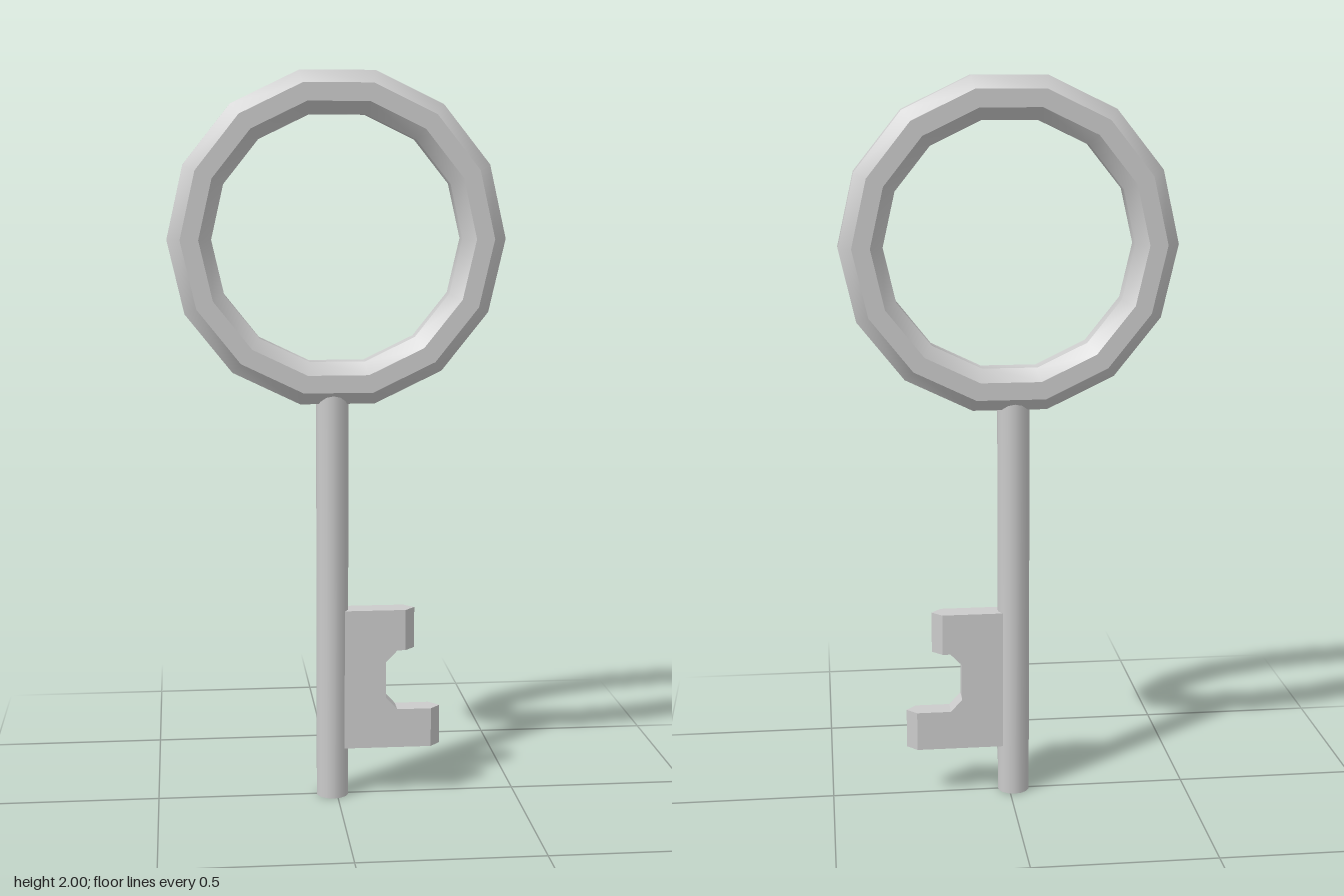
import * as THREE from 'three';
import { toCreasedNormals } from 'three/addons/utils/BufferGeometryUtils.js';

export function createModel() {
  const group = new THREE.Group();
  const material = new THREE.MeshStandardMaterial({ color: 0xcccccc });
  const add = (name, geometry, x, y, z) => {
    const mesh = new THREE.Mesh(geometry, material);
    mesh.name = name;
    mesh.position.set(x, y, z);
    group.add(mesh);
  };

  // Bow: an octagonal section swept around a 14-sided ring
  const section = [];
  for (let i = 0; i <= 8; i++) {
    const a = (i - 0.5) * Math.PI / 4;
    section.push(new THREE.Vector2(0.396 + 0.064 * Math.cos(a), 0.062 * Math.sin(a)));
  }
  const ring = new THREE.LatheGeometry(section, 14, Math.PI / 2);
  ring.rotateX(Math.PI / 2);
  add('bow', toCreasedNormals(ring, 0.56), 0, 1.556, -0.002);

  // Shaft: a plain round rod running up into the bow
  const shaftHeight = 1.16;
  add('shaft', new THREE.CylinderGeometry(0.0445, 0.0445, shaftHeight, 14), -0.0125, shaftHeight / 2, 0.001);

  // Bit: notched plate whose two teeth end in vertical wedges
  const upperTip = 0.217, lowerTip = 0.29, halfDepth = 0.03, bevel = 0.028;
  const outline = new THREE.Shape([
    [0, 0.14], [lowerTip, 0.14], [lowerTip, 0.25], [0.167, 0.25], [0.135, 0.285],
    [0.135, 0.387], [0.167, 0.42], [upperTip, 0.42], [upperTip, 0.535], [0, 0.535],
  ].map(([x, y]) => new THREE.Vector2(x, y)));
  const bit = new THREE.ExtrudeGeometry(outline, { depth: 2 * halfDepth, steps: 2, bevelEnabled: false });
  bit.translate(0, 0, -halfDepth);
  // Pull the tooth ends back on both faces, leaving the middle as the ridge
  const p = bit.attributes.position;
  for (let i = 0; i < p.count; i++) {
    if (p.getX(i) > 0.2 && Math.abs(p.getZ(i)) > 0.01) p.setX(i, p.getX(i) - bevel);
  }
  bit.computeVertexNormals();
  add('bit', bit, 0, 0, 0.001);

  return group;
}
